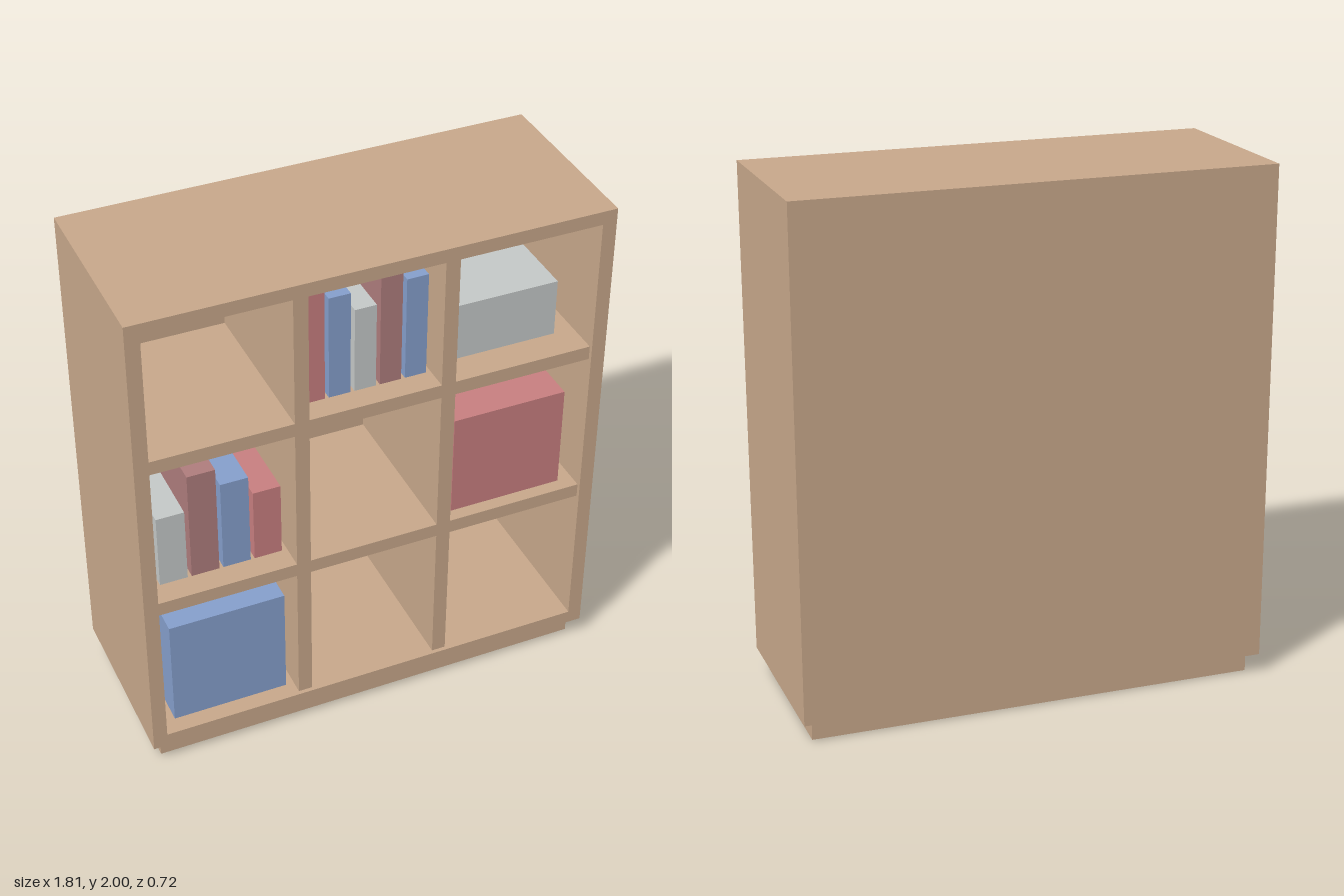
import * as THREE from 'three';

const material = (name, color) => {
  const m = new THREE.MeshStandardMaterial({ color });
  m.name = name;
  return m;
};

export function createModel() {
  const root = new THREE.Group();
  root.name = 'bookcase';
  const wood = material('light wood', 0xc8a88b);
  const red = material('dusty red', 0xc87f80);
  const blue = material('soft blue', 0x859fcc);
  const maroon = material('faded maroon', 0xaf7d7d);
  const grey = material('pale grey', 0xc5c9c8);

  // box given by its limits on each axis
  const block = (name, mat, [x0, x1], [y0, y1], [z0, z1], parent = root) => {
    const mesh = new THREE.Mesh(new THREE.BoxGeometry(x1 - x0, y1 - y0, z1 - z0), mat);
    mesh.position.set((x0 + x1) / 2, (y0 + y1) / 2, (z0 + z1) / 2);
    mesh.name = name;
    parent.add(mesh);
  };

  // outer frame: one rectangle with a rectangular opening
  const W = 0.905, D = 0.362, inW = 0.85, floorY = 0.135, topY = 1.947;
  const rect = (path, x, y0, y1) =>
    path.moveTo(-x, y0).lineTo(x, y0).lineTo(x, y1).lineTo(-x, y1).closePath();
  const outline = new THREE.Shape();
  rect(outline, W, 0.08, 2);
  const opening = new THREE.Path();
  rect(opening, inW, floorY, topY);
  outline.holes.push(opening);
  const frame = new THREE.Mesh(
    new THREE.ExtrudeGeometry(outline, { depth: 2 * D, bevelEnabled: false }), wood);
  frame.position.z = -D;
  frame.name = 'outerFrame';
  root.add(frame);

  block('plinth', wood, [-0.867, 0.867], [0, 0.08], [-0.32, 0.32]);
  block('backPanel', wood, [-inW, inW], [floorY, topY], [-D, -0.325]);

  // dividers and shelves, set slightly back from the frame
  const inner = [-0.325, 0.346];
  const shelves = [[0.722, 0.777], [1.365, 1.42]];
  for (const x of [-0.282, 0.282])
    block('divider', wood, [x - 0.0275, x + 0.0275], [floorY, topY], inner);
  for (const y of shelves)
    for (const x of [[-inW, -0.3095], [-0.2545, 0.2545], [0.3095, inW]])
      block('shelf', wood, x, y, inner);

  // storage boxes
  const [midY, highY] = shelves.map((s) => s[1]);
  block('blueBox', blue, [-0.795, -0.341], [floorY, 0.593], [-0.275, 0.294]);
  block('redBox', red, [0.339, 0.791], [midY, 1.198], [-0.275, 0.294]);
  block('greyBox', grey, [0.36, 0.77], [highY, 1.648], [-0.2, 0.22]);

  // rows of books: evenly spaced, [height, material]
  const bookRow = (name, startX, step, width, y, books) => {
    const row = new THREE.Group();
    row.name = name;
    books.forEach(([h, mat], i) => {
      const x = startX + i * step;
      block('book', mat, [x, x + width], [y, y + h], [-0.225, 0.252], row);
    });
    root.add(row);
  };
  bookRow('upperBooks', -0.239, 0.0982, 0.083, highY,
    [[0.492, red], [0.418, blue], [0.344, grey], [0.492, maroon], [0.418, blue]]);
  bookRow('middleBooks', -0.805, 0.1225, 0.107, midY,
    [[0.304, grey], [0.457, maroon], [0.383, blue], [0.304, red]]);

  return root;
}
